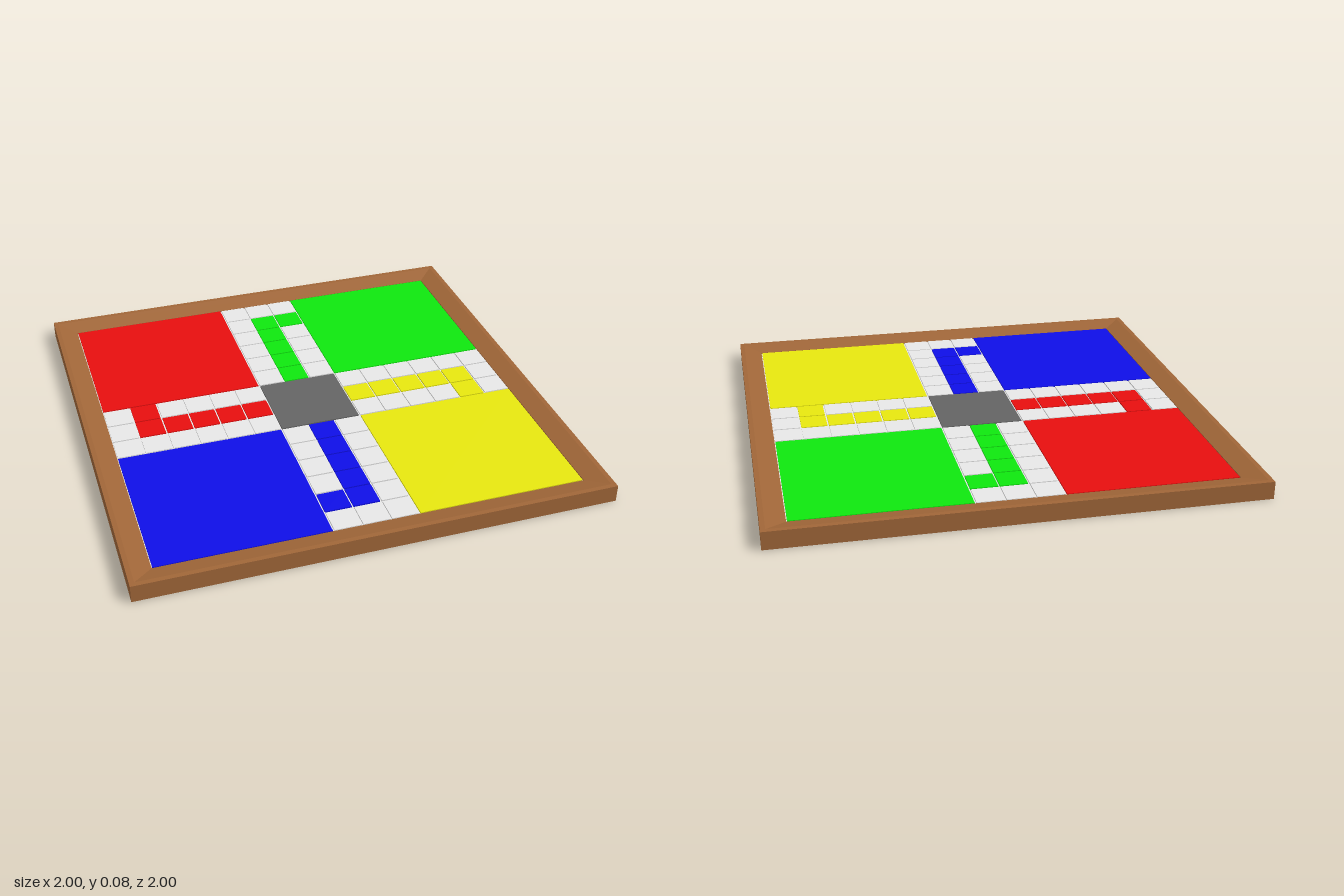
import * as THREE from 'three';

const mat = (name, color) => {
  const m = new THREE.MeshStandardMaterial({ color });
  m.name = name;
  return m;
};

export function createModel() {
  const wood = mat('brown wood', 0xa06638);
  const white = mat('light grey', 0xe7e7e7);
  const grey = mat('dark grey', 0x646464);
  const red = mat('red', 0xe70e0e);
  const green = mat('green', 0x0ee70e);
  const blue = mat('blue', 0x0e0ee7);
  const yellow = mat('yellow', 0xe7e70e);

  const board = new THREE.Group();
  board.name = 'gameBoard';

  const CELL = 0.12, GAP = 0.007, BASE_TOP = 0.05, TILE = 0.006;

  // Square slab covering a given number of cells, lying on the base
  const slab = (name, cells, x, z, material, parent) => {
    const size = cells * CELL - GAP;
    const mesh = new THREE.Mesh(new THREE.BoxGeometry(size, TILE, size), material);
    mesh.position.set(x, BASE_TOP + TILE / 2, z);
    mesh.name = name;
    parent.add(mesh);
  };

  // Mitred frame with a narrow rim and a top sloping inwards
  const profile = [[0.9, 0], [1, 0], [1, 0.075], [0.98, 0.075], [0.9, 0.055], [0.9, 0]]
    .map(([r, y]) => new THREE.Vector2(r * Math.SQRT2, y));
  const frameGeo = new THREE.LatheGeometry(profile, 4, Math.PI / 4).toNonIndexed();
  frameGeo.computeVertexNormals();
  const frame = new THREE.Mesh(frameGeo, wood);
  frame.name = 'frame';
  board.add(frame);

  // Base panel, visible between the tiles and underneath
  const base = new THREE.Mesh(new THREE.BoxGeometry(1.8, BASE_TOP - 0.001, 1.8), white);
  base.position.y = (BASE_TOP + 0.001) / 2;
  base.name = 'basePanel';
  board.add(base);

  slab('centreSquare', 3, 0, 0, grey, board);

  // Four quarters, each with a home yard and a three-lane arm
  const quarters = [
    ['green', green, 0, -1],
    ['yellow', yellow, 1, 0],
    ['blue', blue, 0, 1],
    ['red', red, -1, 0],
  ];
  for (const [name, colour, dx, dz] of quarters) {
    const quarter = new THREE.Group();
    quarter.name = name + 'Quarter';
    board.add(quarter);
    // Distance r outwards along the arm and s sideways from it
    const place = (r, s) => [dx * r - dz * s, dz * r + dx * s];

    slab(name + 'Yard', 6, ...place(0.54, 0.54), colour, quarter);

    for (let step = 0; step < 6; step++) {
      for (let lane = -1; lane <= 1; lane++) {
        const home = lane === 0 && step < 5;
        const start = lane === 1 && step === 4;
        const label = home ? 'homeTile' : start ? 'startTile' : 'pathTile';
        slab(label, 1, ...place((step + 2) * CELL, lane * CELL), home || start ? colour : white, quarter);
      }
    }
  }
  return board;
}
